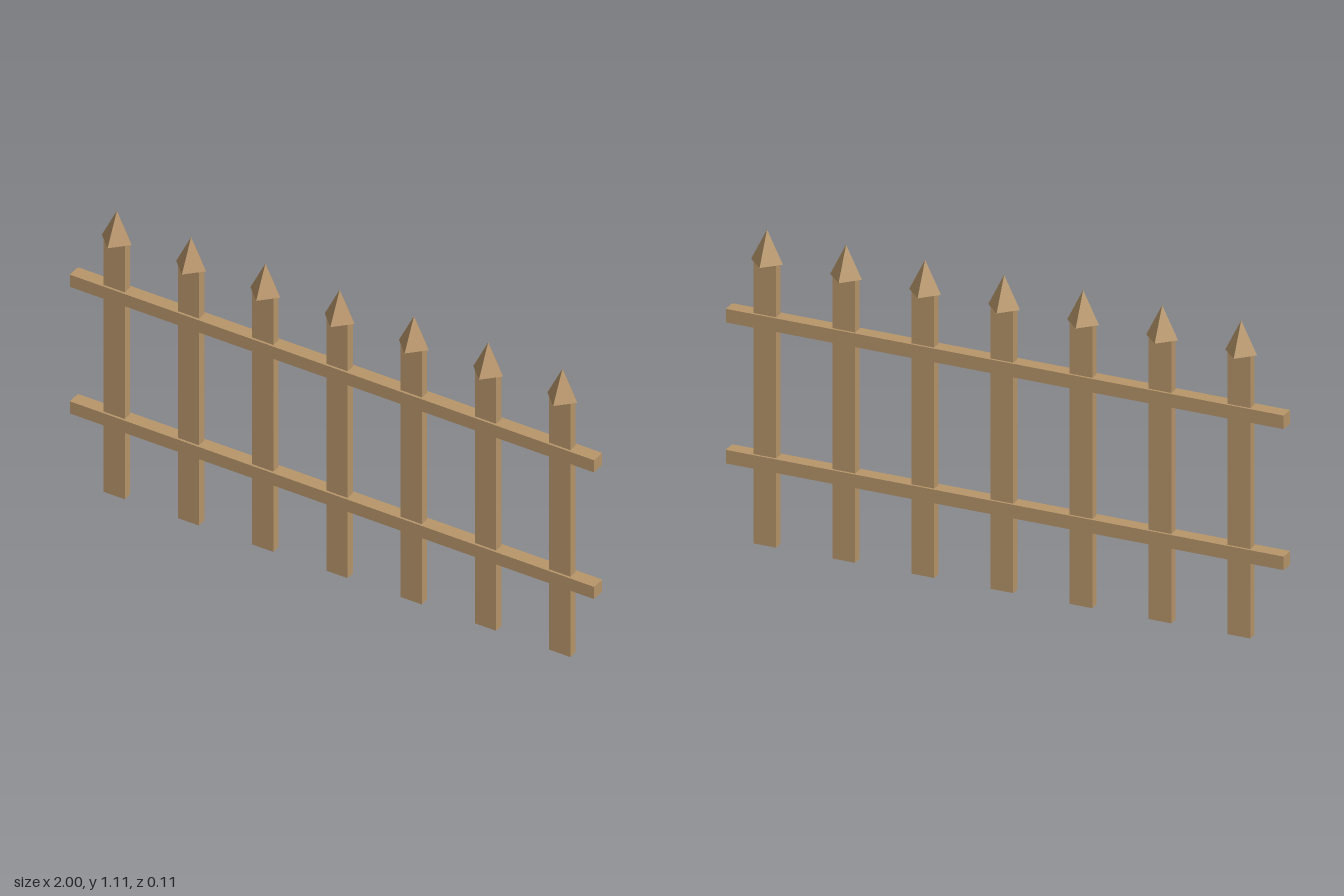
import * as THREE from 'three';

export function createModel() {
  const fence = new THREE.Group();
  fence.name = 'picketFence';
  const wood = new THREE.MeshStandardMaterial({ color: 0xb8966a, flatShading: true });

  const add = (name, geometry, x, y, parent = fence) => {
    const mesh = new THREE.Mesh(geometry, wood);
    mesh.name = name;
    mesh.position.set(x, y, 0);
    parent.add(mesh);
  };

  // Seven flat pickets, each with an overhanging four-sided point
  const postHeight = 1.0, tipHeight = 0.114;
  const post = new THREE.BoxGeometry(0.081, postHeight, 0.033);
  const tip = new THREE.ConeGeometry(0.057, tipHeight, 4);
  for (let i = 0; i < 7; i++) {
    const picket = new THREE.Group();
    picket.name = 'picket' + (i + 1);
    picket.position.x = -0.836 + i * 0.2833;
    add('picketPost', post, 0, postHeight / 2, picket);
    add('picketPoint', tip, 0, postHeight + tipHeight / 2, picket);
    fence.add(picket);
  }

  // Two rails running through all the pickets
  const rail = new THREE.BoxGeometry(2, 0.048, 0.05);
  add('lowerRail', rail, 0, 0.293);
  add('upperRail', rail, 0, 0.793);

  return fence;
}
